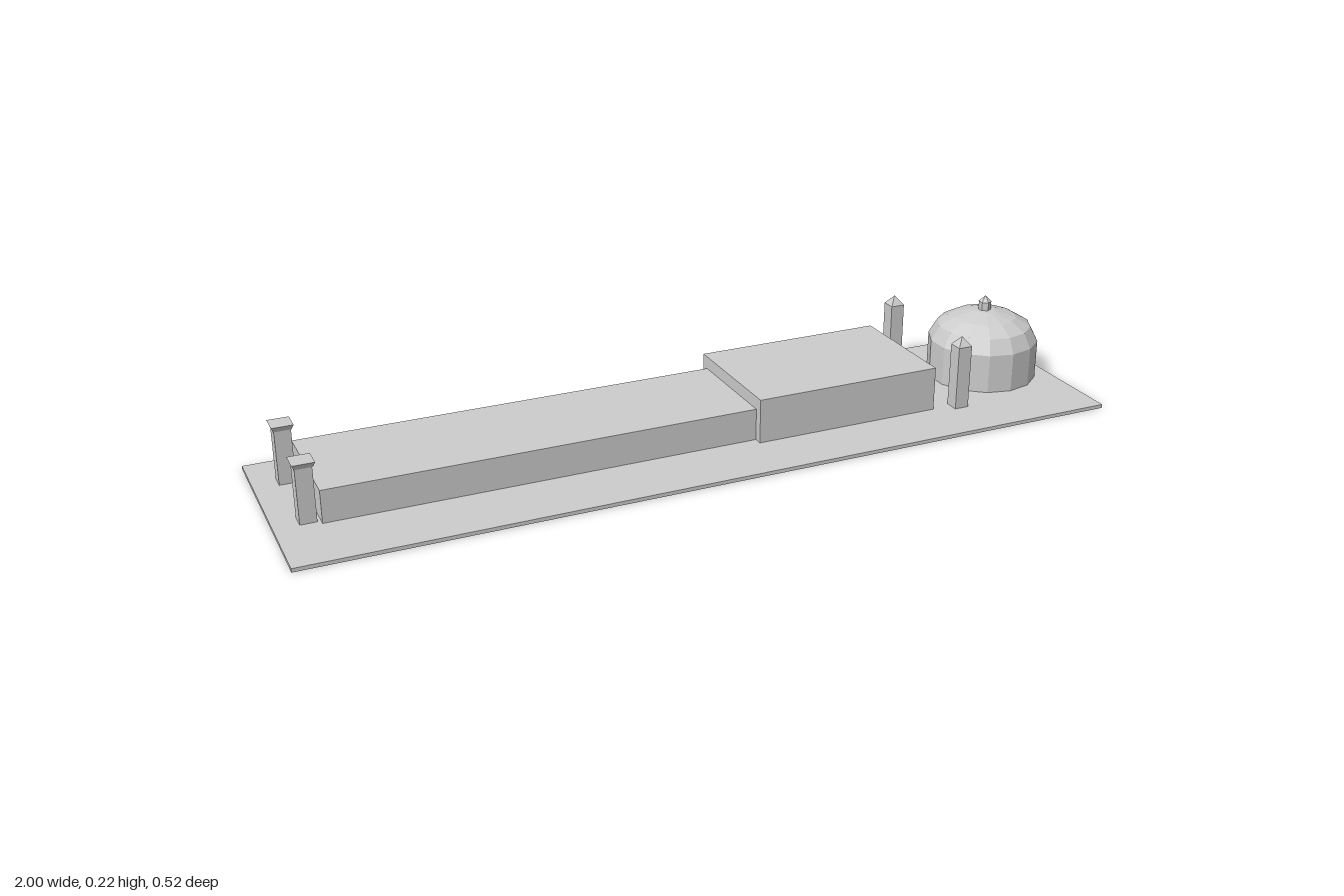
import * as THREE from 'three';

export function createModel() {
  const model = new THREE.Group();
  model.name = 'templeComplex';
  const stone = new THREE.MeshStandardMaterial({ color: 0xcccccc });
  stone.name = 'paleStone';

  const ground = 0.009; // top of the slab
  const axisZ = -0.042; // the buildings share this centre line

  function add(name, geometry, x, y, z, parent = model) {
    // unshared vertices give crisp facets
    const flat = geometry.index ? geometry.toNonIndexed() : geometry;
    flat.computeVertexNormals();
    const mesh = new THREE.Mesh(flat, stone);
    mesh.name = name;
    mesh.position.set(x, y, z);
    parent.add(mesh);
    return mesh;
  }

  // Box given by its x range, y range, depth and centre z
  function block(name, x0, x1, y0, y1, depth, z, parent) {
    return add(name, new THREE.BoxGeometry(x1 - x0, y1 - y0, depth),
      (x0 + x1) / 2, (y0 + y1) / 2, z, parent);
  }

  // Square frustum or pyramid with sides parallel to the axes
  function squareTaper(topWidth, bottomWidth, height) {
    return new THREE.CylinderGeometry(topWidth * Math.SQRT1_2, bottomWidth * Math.SQRT1_2, height, 4)
      .rotateY(Math.PI / 4);
  }

  // Slab and the two halls
  block('baseSlab', -1, 1, 0, ground, 0.522, 0);
  block('longHall', -0.897, 0.13, ground, 0.087, 0.274, axisZ - 0.002);
  block('mainHall', 0.13, 0.605, ground, 0.118, 0.316, axisZ - 0.002);

  for (const side of [1, -1]) {
    const label = side > 0 ? 'front' : 'back';

    // Obelisks between the main hall and the domed building
    const obelisk = new THREE.Group();
    obelisk.name = label + 'Obelisk';
    obelisk.position.set(0.673, 0, axisZ + side * 0.159);
    block('shaft', -0.018, 0.018, ground, 0.168, 0.036, 0, obelisk);
    add('pyramidTip', squareTaper(0, 0.036, 0.023), 0, 0.1795, 0, obelisk);
    model.add(obelisk);

    // Gate pillars with flared capitals
    const pillar = new THREE.Group();
    pillar.name = label + 'GatePillar';
    pillar.position.set(-0.924, 0, axisZ + side * 0.104);
    block('shaft', -0.019, 0.019, ground, 0.14, 0.038, 0, pillar);
    add('capital', squareTaper(0.05, 0.04, 0.012), 0, 0.145, 0, pillar);
    model.add(pillar);
  }

  // Domed building: drum, stepped-facet dome and lantern
  const domed = new THREE.Group();
  domed.name = 'domedBuilding';
  domed.position.set(0.843, 0, axisZ);
  model.add(domed);
  const sides = 14;
  add('drum', new THREE.CylinderGeometry(0.138, 0.138, 0.107 - ground, sides),
    0, (0.107 + ground) / 2, 0, domed);
  const profile = [[0.138, 0.107], [0.118, 0.144], [0.08, 0.166], [0.027, 0.181], [0, 0.182]]
    .map(([r, y]) => new THREE.Vector2(r, y));
  add('dome', new THREE.LatheGeometry(profile, sides), 0, 0, 0, domed);
  add('lantern', new THREE.CylinderGeometry(0.0155, 0.0155, 0.024, 6), 0, 0.191, 0, domed);
  add('lanternRoof', new THREE.ConeGeometry(0.0165, 0.015, 6), 0, 0.2105, 0, domed);

  return model;
}
